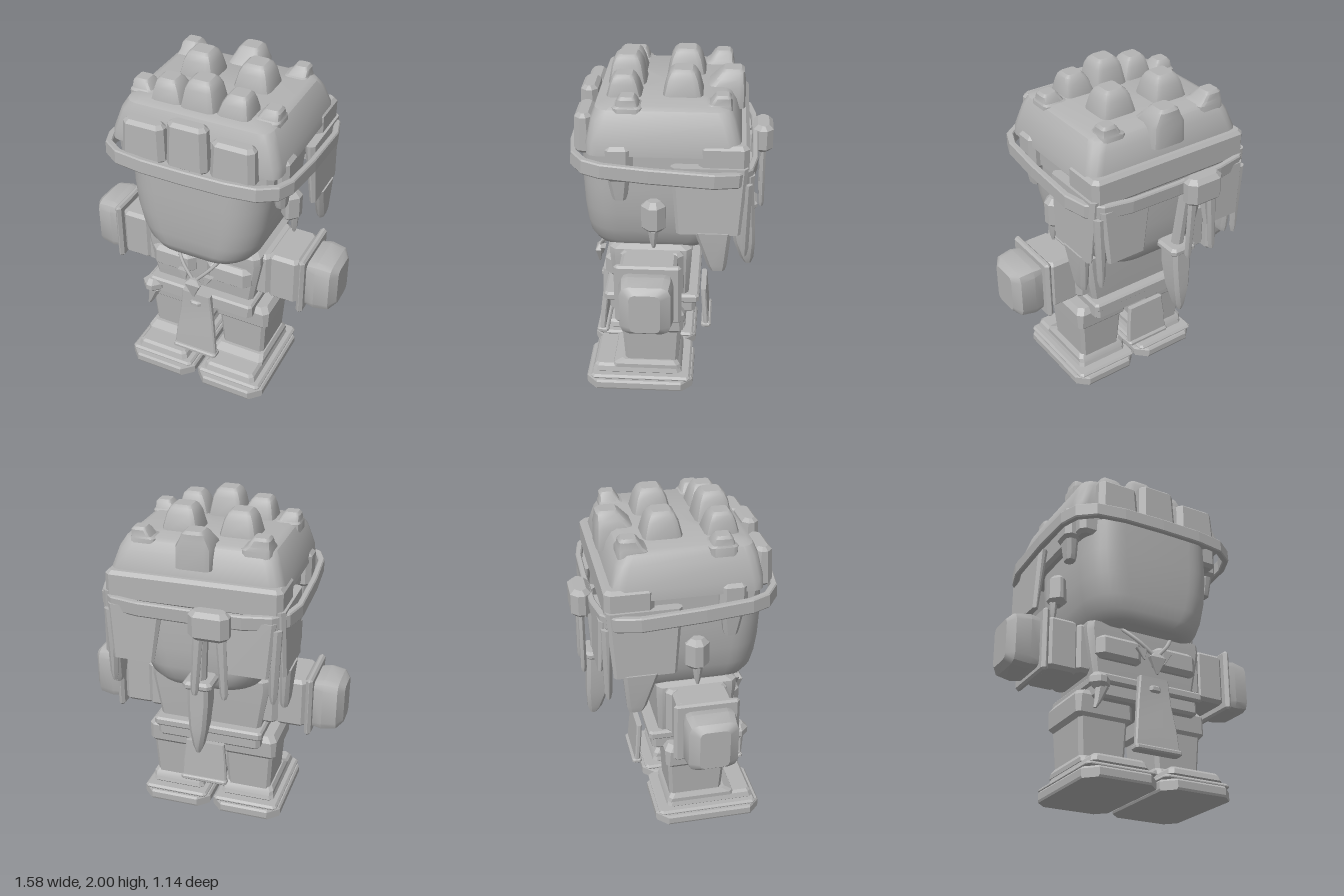
import * as THREE from 'three';
import { toCreasedNormals } from 'three/addons/utils/BufferGeometryUtils.js';

const grey = new THREE.MeshStandardMaterial({ color: 0xb3b3b3 });
grey.name = 'plain grey';

// Stack of rounded rectangles; each ring is [y, centreX, centreZ, halfX, halfZ, cornerRadius]
function tower(rings, seg = 1, crease = 0.35) {
  const loops = rings.map(([y, cx, cz, hx, hz, r = 0.02]) => {
    r = Math.min(r, hx * 0.9, hz * 0.9);
    const pts = [];
    [[1, 1], [-1, 1], [-1, -1], [1, -1]].forEach(([sx, sz], k) => {
      for (let i = 0; i <= seg; i++) {
        const a = (k + i / seg) * Math.PI / 2;
        pts.push([cx + sx * (hx - r) + r * Math.cos(a), y, cz - sz * (hz - r) - r * Math.sin(a)]);
      }
    });
    return pts;
  });
  const out = [], n = loops[0].length, last = loops.length - 1;
  const tri = (...p) => p.forEach(v => out.push(...v));
  const mid = ([y, cx, cz]) => [cx, y, cz];
  for (let i = 0; i < n; i++) {
    const j = (i + 1) % n;
    for (let k = 0; k < last; k++) {
      const a = loops[k], b = loops[k + 1];
      tri(a[i], a[j], b[j]);
      tri(a[i], b[j], b[i]);
    }
    tri(mid(rings[0]), loops[0][j], loops[0][i]);
    tri(mid(rings[last]), loops[last][i], loops[last][j]);
  }
  const g = new THREE.BufferGeometry();
  g.setAttribute('position', new THREE.Float32BufferAttribute(out, 3));
  return toCreasedNormals(g, crease);
}

// Bevelled block from extents; grow widens (+) or narrows (-) the top
function block([x0, x1], [y0, y1], [z0, z1], b = 0.015, grow = 0) {
  const cx = (x0 + x1) / 2, cz = (z0 + z1) / 2, hx = (x1 - x0) / 2, hz = (z1 - z0) / 2;
  return tower([
    [y0, cx, cz, hx - b, hz - b, b], [y0 + b, cx, cz, hx, hz, b * 1.5],
    [y1 - b, cx, cz, hx + grow, hz + grow, b * 1.5], [y1, cx, cz, hx + grow - b, hz + grow - b, b]]);
}

export function createModel() {
  const root = new THREE.Group();
  root.name = 'figure';
  const add = (name, geo) => {
    const m = new THREE.Mesh(geo, grey);
    m.name = name;
    root.add(m);
    return m;
  };
  const span = (s, a, b) => s > 0 ? [a, b] : [-b, -a];

  for (const s of [1, -1]) {
    const side = s > 0 ? 'left' : 'right';
    const part = (name, geo) => add(side + name, geo);

    // feet
    part('Sole', tower([[0, s * 0.23, 0.185, 0.215, 0.32, 0.06], [0.012, s * 0.23, 0.185, 0.22, 0.325, 0.07],
      [0.05, s * 0.23, 0.185, 0.22, 0.325, 0.07], [0.062, s * 0.23, 0.185, 0.21, 0.315, 0.06]]));
    part('SoleEdge', block(span(s, 0.025, 0.435), [0.06, 0.09], [-0.125, 0.48], 0.012));
    part('Shoe', block(span(s, 0.06, 0.40), [0.085, 0.145], [-0.07, 0.47], 0.015, -0.01));
    part('Ankle', tower([[0.13, s * 0.23, 0.14, 0.165, 0.21], [0.155, s * 0.23, 0.14, 0.165, 0.2],
      [0.18, s * 0.23, 0.125, 0.15, 0.165]]));

    // legs
    part('Leg', tower([[0.16, s * 0.235, 0.11, 0.135, 0.16], [0.42, s * 0.235, 0.11, 0.15, 0.175]]));
    part('LegCuff', tower([[0.39, s * 0.235, 0.11, 0.145, 0.165], [0.42, s * 0.235, 0.11, 0.17, 0.19],
      [0.52, s * 0.235, 0.11, 0.175, 0.195, 0.03], [0.555, s * 0.235, 0.11, 0.15, 0.17, 0.03]]));

    // arms and hands
    part('Shoulder', block(span(s, 0.30, 0.41), [0.66, 0.95], [-0.08, 0.28], 0.02));
    part('Arm', block(span(s, 0.38, 0.58), [0.65, 0.96], [-0.05, 0.27], 0.02));
    part('Cuff', block(span(s, 0.575, 0.615), [0.62, 0.99], [-0.08, 0.295], 0.012));
    const hand = tower([[0.60, 0, 0, 0.145, 0.135, 0.03], [0.67, 0, 0, 0.162, 0.15, 0.05],
      [0.755, 0, 0, 0.15, 0.14, 0.05], [0.79, 0, 0, 0.12, 0.085, 0.03]], 2, 0.5);
    const h = part('Hand', hand);
    h.rotation.z = -s * Math.PI / 2;
    h.position.set(0, 0.80, 0.11);

    // chest plates and necklace
    part('ChestPlate', block(span(s, 0.035, 0.32), [0.73, 0.87], [0.26, 0.38], 0.025));
    const cord = new THREE.CatmullRomCurve3([new THREE.Vector3(s * 0.17, 0.95, 0.33),
      new THREE.Vector3(s * 0.09, 0.85, 0.41), new THREE.Vector3(0, 0.755, 0.445)]);
    part('Cord', new THREE.TubeGeometry(cord, 10, 0.011, 6));
    part('SmallTooth', tower([[0.735, s * 0.065, 0.43, 0.004, 0.004, 0.002],
      [0.80, s * 0.08, 0.42, 0.032, 0.015, 0.005]]));

    // ears
    part('Ear', block(span(s, 0.39, 0.50), [1.125, 1.315], [0.015, 0.15], 0.03));
    part('Earring', tower([[1.03, s * 0.465, 0.083, 0.008, 0.008], [1.07, s * 0.465, 0.083, 0.018, 0.02],
      [1.14, s * 0.465, 0.083, 0.022, 0.03]]));

    // side tusks, flaps and the teeth under them
    part('TuskBase', block(span(s, 0.40, 0.515), [1.45, 1.655], [0.19, 0.345], 0.02));
    part('SideTusk', tower([[1.33, s * 0.455, 0.265, 0.028, 0.035, 0.015], [1.36, s * 0.455, 0.265, 0.032, 0.045],
      [1.54, s * 0.465, 0.27, 0.04, 0.07]]));
    part('SideFlap', tower([[1.16, s * 0.515, -0.22, 0.018, 0.175], [1.55, s * 0.49, -0.22, 0.03, 0.205]]));
    part('FlapTooth', tower([[0.925, s * 0.505, -0.275, 0.018, 0.04, 0.015], [0.96, s * 0.505, -0.27, 0.026, 0.055],
      [1.17, s * 0.51, -0.245, 0.032, 0.1]]));
    part('BackFlap', tower([[1.17, s * 0.33, -0.455, 0.12, 0.015], [1.49, s * 0.32, -0.435, 0.16, 0.025]]));
    part('BackFlapTooth', tower([[1.0, s * 0.47, -0.42, 0.012, 0.012], [1.05, s * 0.47, -0.42, 0.025, 0.022],
      [1.45, s * 0.47, -0.42, 0.04, 0.03]]));
  }

  // torso and belt
  add('torso', tower([[0.60, 0, 0.11, 0.31, 0.215], [0.90, 0, 0.11, 0.365, 0.235, 0.03],
    [0.95, 0, 0.11, 0.36, 0.235, 0.03], [0.97, 0, 0.11, 0.33, 0.2, 0.03]]));
  add('hips', block([-0.325, 0.325], [0.50, 0.59], [-0.15, 0.36], 0.015));
  add('belt', block([-0.34, 0.34], [0.575, 0.63], [-0.17, 0.39], 0.012));
  add('pouch', block([-0.38, -0.255], [0.525, 0.62], [0.33, 0.43], 0.03));
  add('pouchHook', tower([[0.415, -0.345, 0.385, 0.01, 0.01], [0.45, -0.33, 0.385, 0.02, 0.016],
    [0.54, -0.305, 0.385, 0.04, 0.025]]));

  // loincloth front and back
  add('frontCloth', tower([[0.215, 0, 0.438, 0.138, 0.016, 0.008], [0.35, 0, 0.428, 0.125, 0.018, 0.008],
    [0.50, 0, 0.41, 0.105, 0.018, 0.008], [0.64, 0, 0.405, 0.09, 0.022, 0.008]], 1, 0.5));
  add('frontClothHem', block([-0.142, 0.142], [0.20, 0.23], [0.40, 0.472], 0.008));
  add('buckle', block([-0.035, 0.035], [0.55, 0.59], [0.40, 0.445], 0.01));
  add('backCloth', tower([[0.28, 0, -0.21, 0.14, 0.015, 0.008], [0.40, 0, -0.2, 0.135, 0.016, 0.008],
    [0.53, 0, -0.19, 0.12, 0.016, 0.008]], 1, 0.5));
  add('backClothHem', block([-0.145, 0.145], [0.265, 0.295], [-0.24, -0.18], 0.008));
  add('pendantTooth', tower([[0.65, 0, 0.455, 0.006, 0.005, 0.002], [0.745, 0, 0.455, 0.05, 0.02, 0.005],
    [0.775, 0, 0.445, 0.02, 0.012, 0.005]]));

  // head with a rounded jaw
  add('head', tower([[0.935, 0, 0.10, 0.26, 0.33, 0.18], [0.95, 0, 0.095, 0.31, 0.36, 0.2],
    [1.0, 0, 0.085, 0.345, 0.388, 0.2], [1.08, 0, 0.08, 0.375, 0.402, 0.2], [1.2, 0, 0.08, 0.398, 0.41, 0.2],
    [1.35, 0, 0.08, 0.41, 0.413, 0.2], [1.55, 0, 0.08, 0.41, 0.41, 0.2]], 8, 0.8));

  // cap
  add('capBase', block([-0.46, 0.46], [1.46, 1.62], [-0.38, 0.42], 0.02));
  add('capDome', tower([[1.60, 0, 0.025, 0.50, 0.415, 0.06], [1.66, 0, 0.025, 0.495, 0.415, 0.07],
    [1.78, 0, 0.03, 0.455, 0.385, 0.07], [1.83, 0, 0.035, 0.425, 0.36, 0.07],
    [1.845, 0, 0.035, 0.39, 0.33, 0.06]], 3, 0.6));
  add('capBackBand', block([-0.505, 0.505], [1.50, 1.67], [-0.43, -0.16], 0.02));

  // tilted rim
  const half = [[0, 0.56], [0.25, 0.555], [0.42, 0.53], [0.52, 0.46], [0.56, 0.36], [0.577, 0.1],
    [0.577, -0.25], [0.54, -0.38], [0.46, -0.45], [0.3, -0.48], [0, -0.485]];
  const outline = half.concat(half.slice(1, -1).reverse().map(([x, z]) => [-x, z]));
  const ring = k => outline.map(([x, z]) => new THREE.Vector2(x * k, -((z - 0.04) * k + 0.04)));
  const rimShape = new THREE.Shape(ring(0.99));
  rimShape.holes.push(new THREE.Path(ring(0.95)));
  const rimGeo = new THREE.ExtrudeGeometry(rimShape,
    { depth: 0.07, bevelEnabled: true, bevelThickness: 0.008, bevelSize: 0.006, bevelSegments: 1 });
  const rim = add('rim', rimGeo.translate(0, 0, -0.035).rotateX(-Math.PI / 2).rotateX(-0.062));
  rim.position.y = 1.515;

  // front plates on the cap
  [[-0.26, 0.13, 1.785], [0, 0.122, 1.835], [0.265, 0.13, 1.785]].forEach(([x, w, top]) =>
    add('frontPlate', block([x - w, x + w], [1.56, top], [0.405, 0.515], 0.02, -0.008)));

  // studs: x, z, half width, top height, lean in x, lean in z
  [[0, -0.3, 0.105, 1.93, 0, -0.03], [-0.33, -0.255, 0.085, 1.91, -0.02, -0.02], [0.31, -0.26, 0.075, 1.90, 0.02, -0.02],
    [-0.18, -0.07, 0.112, 1.98, 0, 0], [0.155, -0.065, 0.112, 1.98, 0, 0],
    [-0.37, 0.22, 0.08, 1.90, -0.02, 0], [-0.2, 0.25, 0.098, 1.96, -0.01, 0], [-0.01, 0.25, 0.108, 2.0, 0, 0],
    [0.19, 0.25, 0.098, 1.96, 0.01, 0], [0.355, 0.22, 0.08, 1.90, 0.02, 0],
  ].forEach(([x, z, w, top, lx, lz]) => add('stud', tower([
    [1.72, x, z, w, w, w * 0.35], [1.84, x, z, w * 0.98, w * 0.98, w * 0.35],
    [top - 0.05, x + lx / 2, z + lz / 2, w * 0.78, w * 0.78, w * 0.3],
    [top - 0.015, x + lx, z + lz, w * 0.62, w * 0.62, w * 0.25],
    [top, x + lx, z + lz, w * 0.45, w * 0.45, w * 0.15]], 2, 0.6)));

  // back tassel: clasp, two strands and a large curved tooth
  add('clasp', block([-0.25, -0.02], [1.39, 1.555], [-0.575, -0.46], 0.025));
  [[-0.2, -0.22], [-0.07, -0.05]].forEach(([x0, x1]) => add('strand', tower([
    [1.04, x1, -0.522, 0.014, 0.012], [1.07, x1, -0.522, 0.024, 0.016], [1.41, x0, -0.52, 0.03, 0.016]])));
  add('toothHandle', tower([[1.07, -0.05, -0.42, 0.035, 0.035], [1.50, -0.08, -0.45, 0.03, 0.03]]));
  add('toothCollar', block([-0.135, 0.035], [1.045, 1.095], [-0.5, -0.33], 0.015));
  add('largeTooth', tower([[0.635, -0.05, -0.458, 0.012, 0.018, 0.008], [0.68, -0.05, -0.45, 0.03, 0.042],
    [0.80, -0.05, -0.432, 0.05, 0.065], [0.95, -0.05, -0.415, 0.06, 0.075], [1.06, -0.05, -0.41, 0.06, 0.075]], 1, 0.5));
  return root;
}
